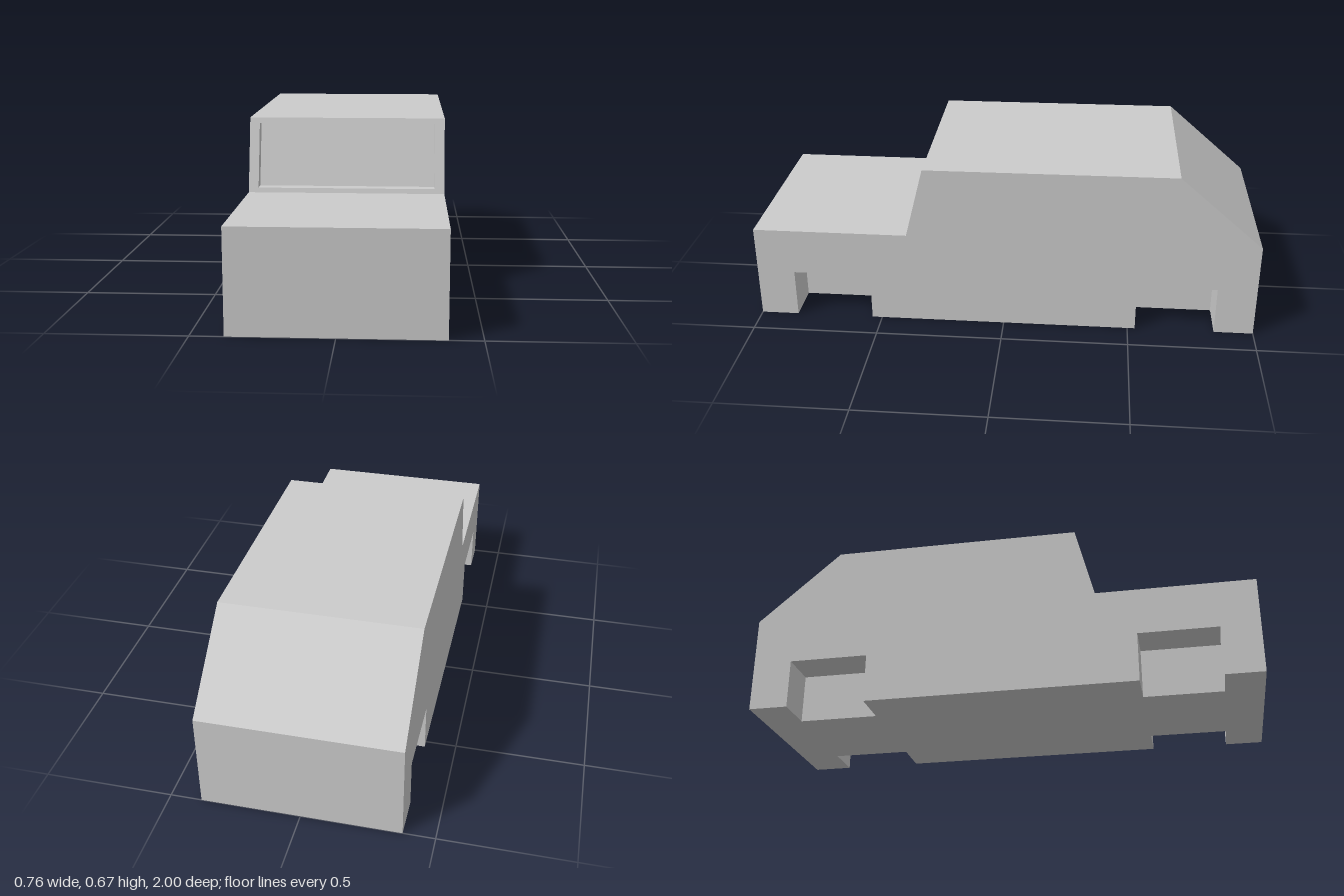
import * as THREE from 'three';

const W = 0.38;        // half width of the body
const WELL_X = 0.217;  // inner wall of the wheel wells
const WELL_H = 0.195;
const WELLS = [[0.54, 0.85], [-0.845, -0.53]]; // [back z, front z]
const DEPTH = 0.05;    // windscreen recess
const PANE_W = 0.342;
const PANE_Y = [0.4, 0.645];

// Side profile as [z, y], from the front sill over the roof to the rear sill
const PROFILE = [[1, 0], [1, 0.382], [0.385, 0.382], [0.312, 0.667], [-0.67, 0.67], [-1, 0.385], [-1, 0]];
const NAMES = ['frontPanel', 'hood', 'windscreenFrame', 'roof', 'tailgate', 'rearPanel'];

const X = new THREE.Vector3(1, 0, 0), Y = new THREE.Vector3(0, 1, 0), Z = new THREE.Vector3(0, 0, 1);
const material = new THREE.MeshStandardMaterial({ color: 0xcccccc, flatShading: true });
const toPoints = (list) => list.map(([u, v]) => new THREE.Vector2(u, v));
const rect = (u0, v0, u1, v1) => [[u0, v0], [u1, v0], [u1, v1], [u0, v1]];

// Flat panel drawn in the plane of axes u and v, facing u cross v
function panel(name, outline, u, v, origin, hole) {
  const shape = new THREE.Shape(toPoints(outline));
  if (hole) shape.holes.push(new THREE.Path(toPoints(hole)));
  const geometry = new THREE.ShapeGeometry(shape);
  const n = new THREE.Vector3().crossVectors(u, v);
  geometry.applyMatrix4(new THREE.Matrix4().makeBasis(u, v, n).setPosition(origin));
  const mesh = new THREE.Mesh(geometry, material);
  mesh.name = name;
  return mesh;
}

// Rectangle spanning x0..x1 between two [z, y] points
function strip(name, a, b, x0, x1, hole) {
  const v = new THREE.Vector3(0, b[1] - a[1], b[0] - a[0]);
  const length = v.length();
  return panel(name, rect(x0, 0, x1, length), X, v.normalize(), new THREE.Vector3(0, a[1], a[0]), hole);
}

// Panel facing sideways at x, outline given as [z, y]
function sidePanel(name, outline, x, facing) {
  return panel(name, outline.map(([z, y]) => [-facing * z, y]), Z.clone().multiplyScalar(-facing), Y, new THREE.Vector3(x, 0, 0));
}

export function createModel() {
  const model = new THREE.Group();
  model.name = 'carBody';

  // Point on the windscreen slope at a given height
  const [foot, head] = [PROFILE[2], PROFILE[3]];
  const fraction = (y) => (y - foot[1]) / (head[1] - foot[1]);
  const onScreen = (y) => [foot[0] + (head[0] - foot[0]) * fraction(y), y];
  const slope = Math.hypot(head[0] - foot[0], head[1] - foot[1]);
  const opening = rect(-PANE_W, fraction(PANE_Y[0]) * slope, PANE_W, fraction(PANE_Y[1]) * slope);

  // Outer skin across the width
  NAMES.forEach((name, i) => {
    model.add(strip(name, PROFILE[i], PROFILE[i + 1], -W, W, i === 2 ? opening : undefined));
  });

  // Recessed windscreen
  const screen = new THREE.Group();
  screen.name = 'windscreen';
  const [low, high] = PANE_Y.map(onScreen);
  const [lowIn, highIn] = [low, high].map(([z, y]) => [z - DEPTH, y]);
  screen.add(
    strip('pane', lowIn, highIn, -PANE_W, PANE_W),
    strip('sill', low, lowIn, -PANE_W, PANE_W),
    strip('header', highIn, high, -PANE_W, PANE_W)
  );
  for (const s of [-1, 1]) screen.add(sidePanel('jamb', [low, high, highIn, lowIn], s * PANE_W, -s));
  model.add(screen);

  // Side walls with wheel cutouts
  const notches = [...WELLS].reverse().flatMap(([b, f]) => [[b, 0], [b, WELL_H], [f, WELL_H], [f, 0]]);
  for (const s of [-1, 1]) {
    model.add(sidePanel(s > 0 ? 'leftSide' : 'rightSide', [...PROFILE, ...notches], s * W, s));

    // Wheel wells: back wall, ceiling, front wall and inner wall
    for (const [b, f] of WELLS) {
      const well = new THREE.Group();
      well.name = 'wheelWell';
      const path = [[b, 0], [b, WELL_H], [f, WELL_H], [f, 0]];
      const [x0, x1] = s > 0 ? [WELL_X, W] : [-W, -WELL_X];
      for (let i = 0; i < 3; i++) well.add(strip('wellWall', path[i], path[i + 1], x0, x1));
      well.add(sidePanel('wellInnerWall', path, s * WELL_X, s));
      model.add(well);
    }
  }

  // Underside, notched at the wells
  const edge = WELLS.flatMap(([b, f]) => [[W, f], [WELL_X, f], [WELL_X, b], [W, b]]);
  const half = [[W, 1], ...edge, [W, -1]];
  const floor = [...half, ...half.map(([x, z]) => [-x, z]).reverse()];
  model.add(panel('floor', floor, X, Z, new THREE.Vector3()));

  return model;
}
